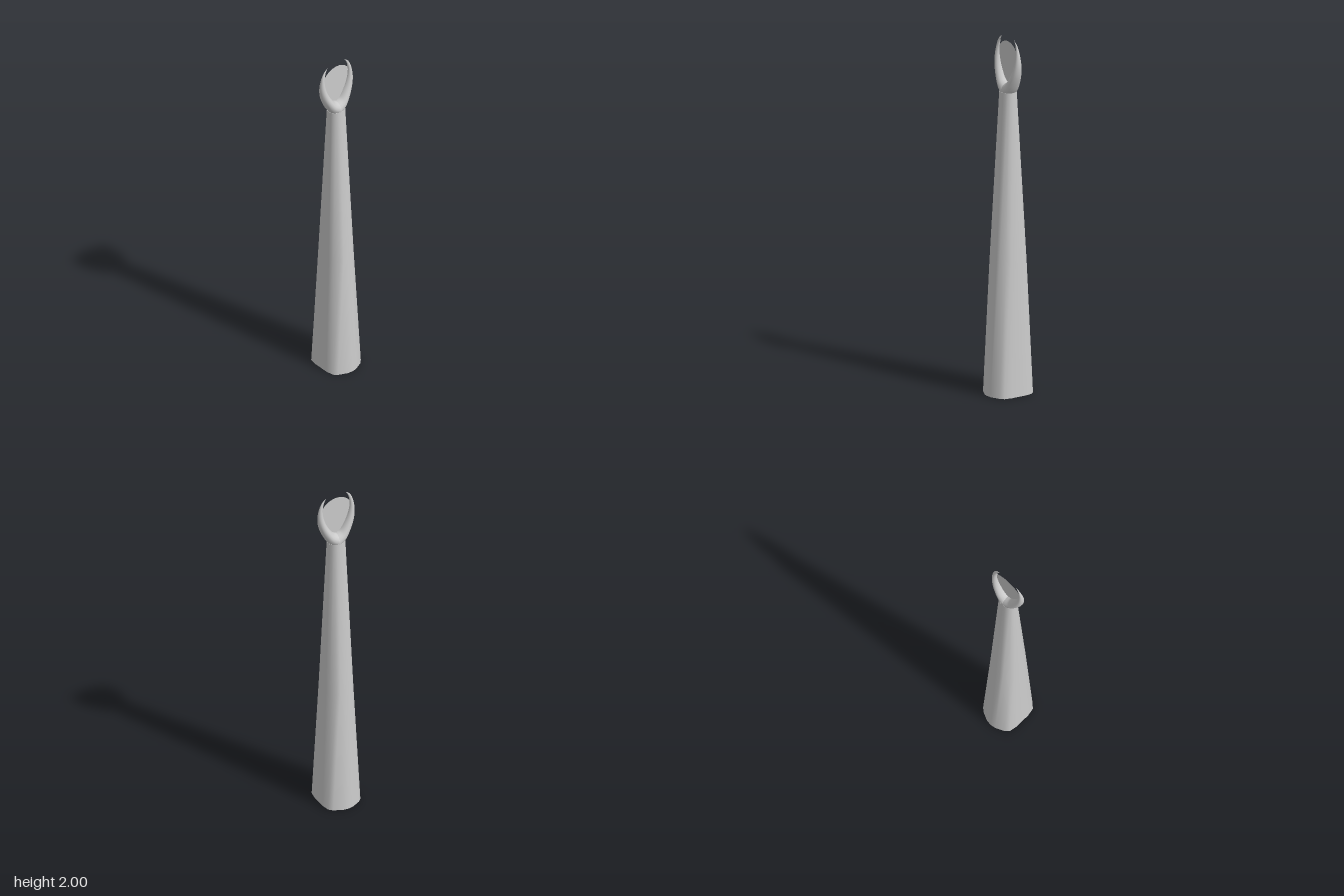
import * as THREE from 'three';

const material = new THREE.MeshStandardMaterial({ color: 0xcccccc });
const panelMaterial = new THREE.MeshStandardMaterial({ color: 0xcccccc, side: THREE.DoubleSide });

// Skin closed rings of [x, y, z] points; flat end caps keep their own normals
function loft(rings) {
  const n = rings[0].length;
  const pos = rings.flat(2);
  const index = [];
  for (let r = 0; r < rings.length - 1; r++) {
    for (let k = 0; k < n; k++) {
      const a = r * n + k, b = r * n + (k + 1) % n;
      index.push(a, a + n, b, b, a + n, b + n);
    }
  }
  for (const [ring, top] of [[rings[0], false], [rings[rings.length - 1], true]]) {
    const start = pos.length / 3;
    pos.push(...ring.flat());
    for (let k = 1; k < n - 1; k++) {
      if (top) index.push(start, start + k + 1, start + k);
      else index.push(start, start + k, start + k + 1);
    }
  }
  const geometry = new THREE.BufferGeometry();
  geometry.setAttribute('position', new THREE.Float32BufferAttribute(pos, 3));
  geometry.setIndex(index);
  geometry.computeVertexNormals();
  return geometry;
}

// Complete a ring from one quarter outline running from +x to +z
function fullRing(quarter, y) {
  const half = [...quarter, ...quarter.slice(0, -1).reverse().map(([x, z]) => [-x, z])];
  const back = half.slice(1, -1).reverse().map(([x, z]) => [x, -z]);
  return [...half, ...back].map(([x, z]) => [x, y, z]);
}

// Outer and inner edges of one horn, from the centre line to the tip
const curve = (pts) => new THREE.SplineCurve(pts.map(([x, y]) => new THREE.Vector2(x, y)));
const outerEdge = curve([[0, 1.66], [0.046, 1.695], [0.08, 1.75], [0.104, 1.81], [0.113, 1.87],
  [0.106, 1.93], [0.088, 1.975], [0.06, 2]]);
const innerEdge = curve([[0, 1.75], [0.022, 1.762], [0.043, 1.79], [0.066, 1.835], [0.081, 1.885],
  [0.084, 1.93], [0.076, 1.97], [0.06, 2]]);

function hornGeometry(side) {
  const rings = [];
  const steps = 28, sides = 16;
  for (let i = 0; i <= steps; i++) {
    const o = outerEdge.getPoint(i / steps), p = innerEdge.getPoint(i / steps);
    const cx = (o.x + p.x) / 2, cy = (o.y + p.y) / 2;
    const depth = Math.max(0.0005, 0.045 * (2 - cy) / 0.29);
    const ring = [];
    for (let k = 0; k < sides; k++) {
      const a = -side * k / sides * Math.PI * 2;
      const c = Math.cos(a) / 2;
      ring.push([side * (cx + (p.x - o.x) * c), cy + (p.y - o.y) * c, depth * Math.sin(a)]);
    }
    rings.push(ring);
  }
  return loft(rings);
}

export function createModel() {
  const group = new THREE.Group();
  const add = (name, geometry, mat = material) => {
    const mesh = new THREE.Mesh(geometry, mat);
    mesh.name = name;
    group.add(mesh);
  };

  // Tapering shaft: broad rounded base, chamfered middle, slim oval neck
  add('shaft', loft([
    fullRing([[0.108, 0], [0.108, 0.045], [0.1, 0.088], [0.08, 0.108], [0.03, 0.131], [0, 0.135]], 0),
    fullRing([[0.083, 0], [0.082, 0.035], [0.073, 0.06], [0.048, 0.088], [0.03, 0.095], [0, 0.096]], 0.74),
    fullRing([[0.051, 0], [0.049, 0.015], [0.042, 0.027], [0.031, 0.036], [0.016, 0.043], [0, 0.045]], 1.7),
  ]));

  // Pair of curved horns growing out of the neck
  add('leftHorn', hornGeometry(1));
  add('rightHorn', hornGeometry(-1));

  // Thin panel between the horns: round above, drawn out below
  const panel = new THREE.Shape();
  panel.absellipse(0, 1.88, 0.1, 0.1, 0, Math.PI, false, 0);
  panel.absellipse(0, 1.88, 0.1, 0.14, Math.PI, Math.PI * 2, false, 0);
  add('crownPanel', new THREE.ShapeGeometry(panel, 24), panelMaterial);

  return group;
}
